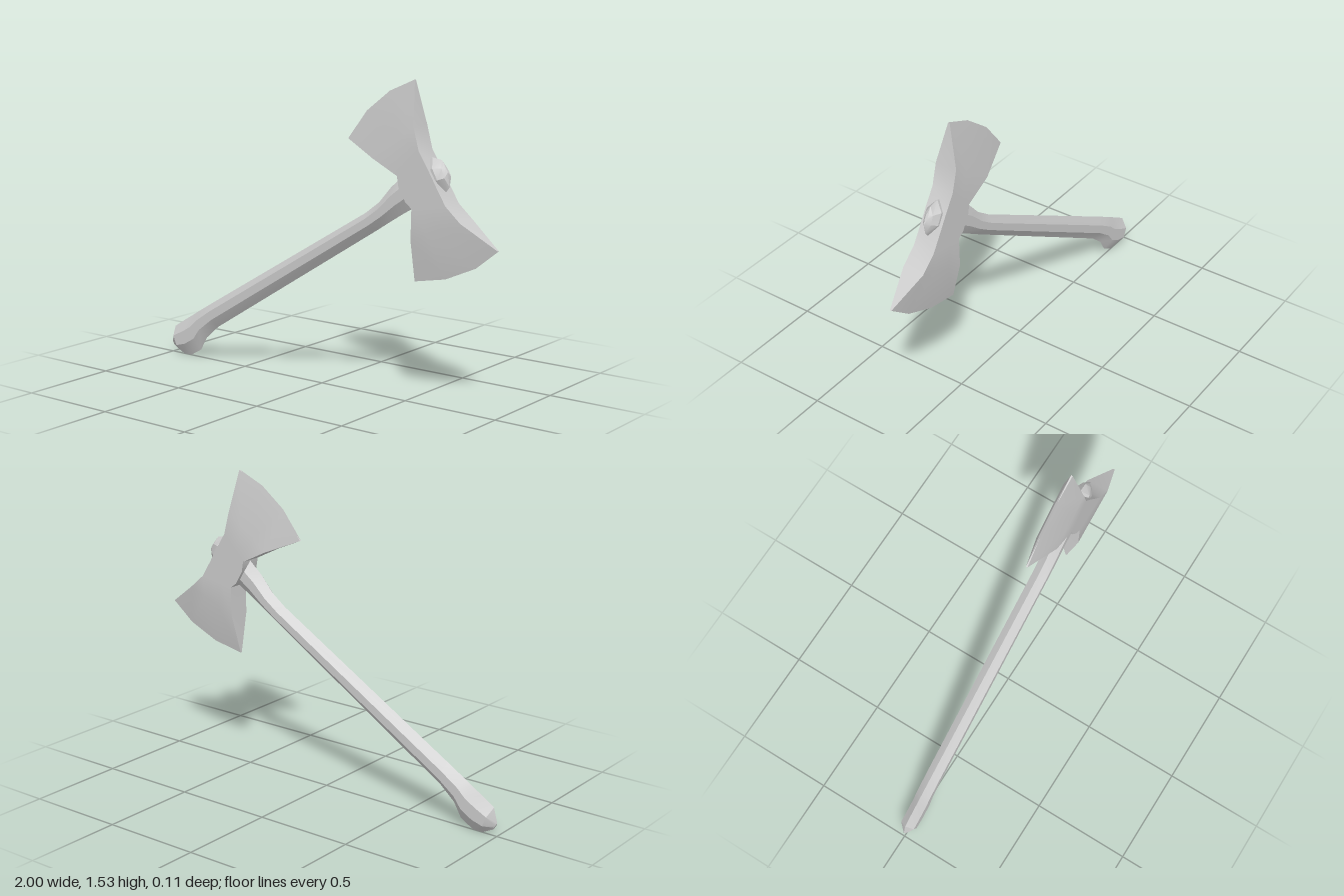
import * as THREE from 'three';
import { toCreasedNormals } from 'three/addons/utils/BufferGeometryUtils.js';

// Skin a list of closed rings (equal point counts) and cap both ends.
function loft(rings, crease) {
  const pos = [];
  const tri = (...pts) => pts.forEach((p) => pos.push(p.x, p.y, p.z));
  const n = rings[0].length;
  for (let i = 0; i < rings.length - 1; i++) {
    for (let j = 0; j < n; j++) {
      const k = (j + 1) % n;
      const a = rings[i][j], b = rings[i][k], c = rings[i + 1][j], d = rings[i + 1][k];
      tri(a, b, c);
      tri(b, d, c);
    }
  }
  [rings[0], rings[rings.length - 1]].forEach((ring, end) => {
    const mid = ring.reduce((s, p) => s.add(p), new THREE.Vector3()).divideScalar(n);
    for (let j = 0; j < n; j++) {
      const p = ring[j], q = ring[(j + 1) % n];
      if (end) tri(mid, p, q);
      else tri(mid, q, p);
    }
  });
  const geometry = new THREE.BufferGeometry();
  geometry.setAttribute('position', new THREE.Float32BufferAttribute(pos, 3));
  return toCreasedNormals(geometry, crease);
}

// Six-sided handle section: ridge on top and bottom, flat sides at +-w.
function handleRing([tx, ty, bx, by, w]) {
  const at = (f, z) => new THREE.Vector3(tx + (bx - tx) * f, ty + (by - ty) * f, z);
  return [at(0, 0), at(0.3, w), at(0.65, w), at(1, 0), at(0.65, -w), at(0.3, -w)];
}

// Head section: a row of points across the cheek, mirrored front to back.
function headRing(row, t) {
  const front = row.map(([x, y]) => new THREE.Vector3(x, y, t));
  const back = row.map(([x, y]) => new THREE.Vector3(x, y, -t)).reverse();
  return [...front, ...back];
}

// Evenly spaced row from the outer side to the inner side of the head.
function straightRow(ox, oy, ix, iy) {
  return [0, 1, 2, 3].map((k) => [ox + (ix - ox) * k / 3, oy + (iy - oy) * k / 3]);
}

export function createModel() {
  const group = new THREE.Group();
  const add = (name, geometry) => {
    const mesh = new THREE.Mesh(geometry, new THREE.MeshStandardMaterial({ color: 0xcccccc }));
    mesh.name = name;
    group.add(mesh);
  };

  // Handle: top x, y, bottom x, y, half width, from the hooked butt to the flared neck
  const handle = [
    [-1.0, 0.065, -0.98, 0.03, 0.006],
    [-0.98, 0.14, -0.92, 0.0, 0.038],
    [-0.91, 0.185, -0.87, 0.0, 0.038],
    [-0.86, 0.215, -0.8, 0.04, 0.038],
    [-0.82, 0.24, -0.76, 0.11, 0.038],
    [-0.72, 0.3, -0.68, 0.18, 0.038],
    [0.26, 0.88, 0.33, 0.805, 0.038],
    [0.34, 0.94, 0.4, 0.85, 0.038],
    [0.41, 1.02, 0.48, 0.9, 0.038],
    [0.48, 1.08, 0.55, 0.94, 0.038],
    [0.56, 1.12, 0.62, 0.99, 0.038],
  ];
  add('handle', loft(handle.map(handleRing), 0.4));

  // End of the handle showing above the head
  const knob = [
    [0.56, 1.13, 0.64, 0.98, 0.04],
    [0.64, 1.18, 0.72, 1.03, 0.04],
    [0.69, 1.172, 0.735, 1.05, 0.022],
    [0.703, 1.155, 0.742, 1.1, 0.006],
  ];
  add('handleKnob', loft(knob.map(handleRing), 0.4));

  // Double-bladed head, lofted from the upper edge to the lower edge
  const t = 0.056;
  const head = [
    headRing([[0.54, 1.53], [0.4, 1.47], [0.27, 1.37], [0.16, 1.23]], 0.004),
    headRing(straightRow(0.57, 1.32, 0.34, 1.155), t),
    headRing(straightRow(0.6, 1.21, 0.48, 1.085), t),
    headRing(straightRow(0.655, 1.125, 0.49, 1.03), t),
    headRing(straightRow(0.7, 1.05, 0.53, 0.965), t),
    headRing(straightRow(0.75, 0.97, 0.563, 0.94), t),
    headRing(straightRow(0.83, 0.9, 0.56, 0.79), t),
    headRing([[1.0, 0.785], [0.88, 0.69], [0.72, 0.62], [0.55, 0.588]], 0.004),
  ];
  add('axeHead', loft(head, 0.6));

  return group;
}
